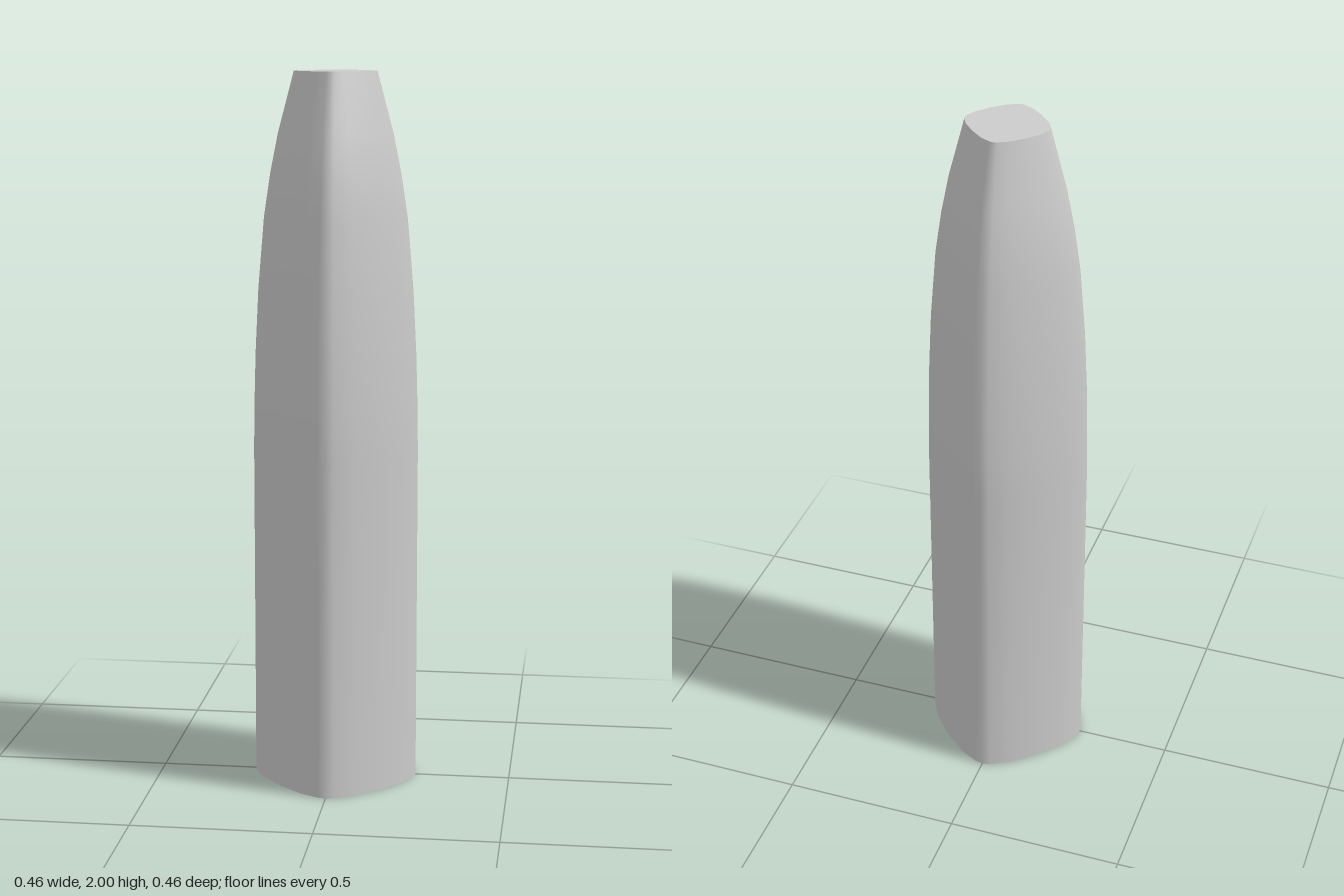
import * as THREE from 'three';

// Rounded-diamond cross-section: one quarter, from +x towards +z, at full width
const QUARTER = [[0.232, 0], [0.228, 0.022], [0.2, 0.075], [0.142, 0.142], [0.075, 0.2], [0.022, 0.228]];

// Half-width of the section at each height
const PROFILE = [[0, 0.232], [0.95, 0.232], [1.08, 0.23], [1.22, 0.226], [1.4, 0.217], [1.6, 0.2], [1.72, 0.182], [1.83, 0.16], [2, 0.115]];

// Full section: the quarter turned four times about the y axis
function makeSection() {
  const section = [];
  for (let q = 0; q < 4; q++) {
    for (const [x, z] of QUARTER) {
      section.push([[x, z], [-z, x], [-x, -z], [z, -x]][q]);
    }
  }
  return section;
}

function makeGeometry(positions, index) {
  const geometry = new THREE.BufferGeometry();
  geometry.setAttribute('position', new THREE.Float32BufferAttribute(positions, 3));
  geometry.setIndex(index);
  geometry.computeVertexNormals();
  return geometry;
}

export function createModel() {
  const group = new THREE.Group();
  group.name = 'taperedShell';
  const material = new THREE.MeshStandardMaterial({ color: 0xcccccc, side: THREE.DoubleSide });
  const section = makeSection();
  const n = section.length;

  // Smooth tapering wall, open at the bottom
  const positions = [];
  const index = [];
  PROFILE.forEach(([y, width], j) => {
    const s = width / 0.232;
    section.forEach(([x, z], i) => {
      positions.push(x * s, y, z * s);
      if (j === 0) return;
      const next = (i + 1) % n;
      const a = (j - 1) * n + i, b = (j - 1) * n + next;
      const c = j * n + i, d = j * n + next;
      index.push(a, c, b, b, c, d);
    });
  });
  const wall = new THREE.Mesh(makeGeometry(positions, index), material);
  wall.name = 'wall';

  // Flat lid closing the narrow top
  const [topY, topWidth] = PROFILE[PROFILE.length - 1];
  const lidPositions = [0, topY, 0];
  const lidIndex = [];
  section.forEach(([x, z], i) => {
    lidPositions.push(x * topWidth / 0.232, topY, z * topWidth / 0.232);
    lidIndex.push(0, 1 + (i + 1) % n, 1 + i);
  });
  const lid = new THREE.Mesh(makeGeometry(lidPositions, lidIndex), material);
  lid.name = 'topCap';

  group.add(wall, lid);
  return group;
}
